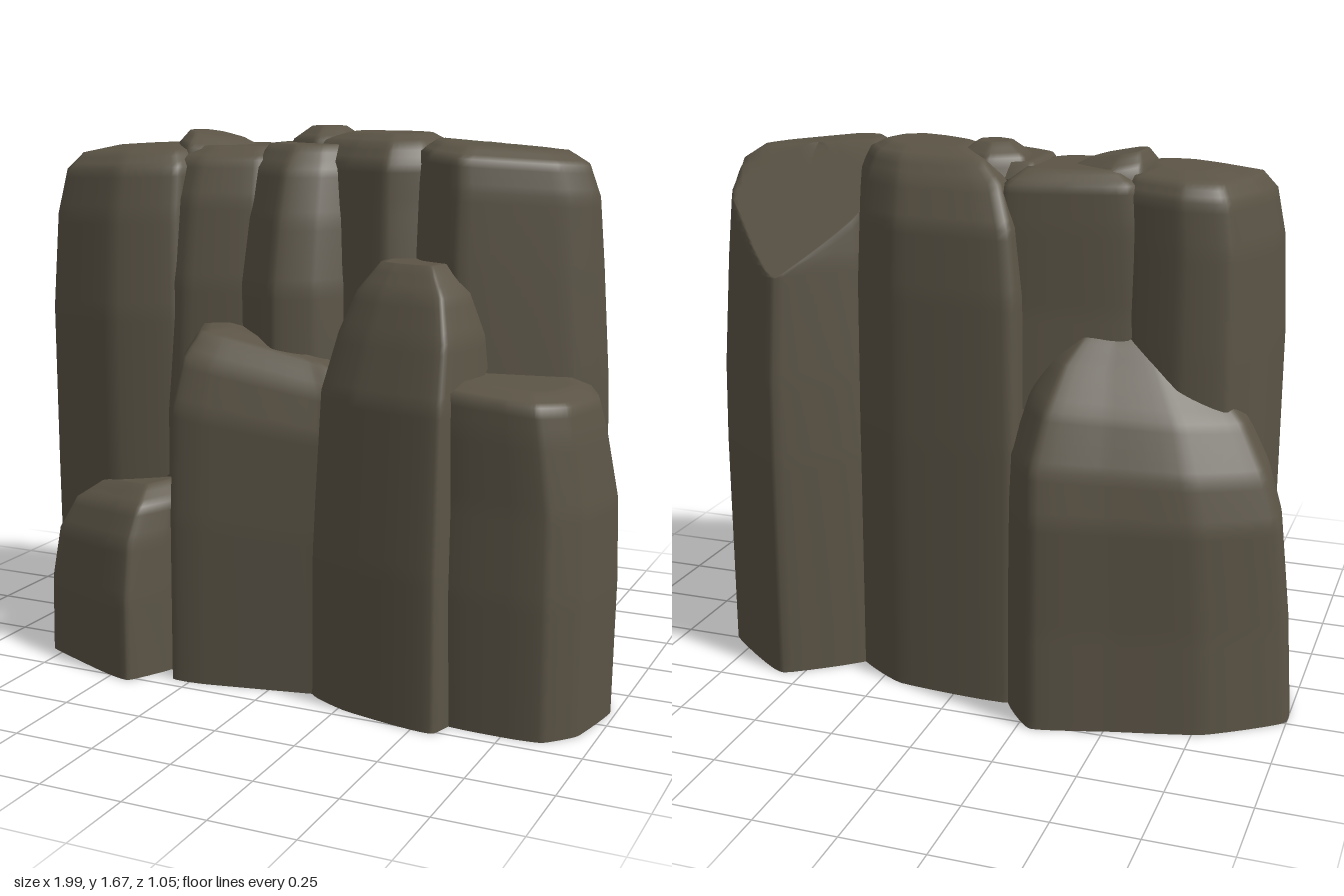
import * as THREE from 'three';

const stone = new THREE.MeshStandardMaterial({ color: 0x5b5446, side: THREE.DoubleSide });
stone.name = 'dark stone';
const { lerp } = THREE.MathUtils;
const noRoof = () => 9;

// A rock: its footprint of [x, z] corners (clockwise from above, slightly rounded) and its
// rings of [height, scale, shiftX, shiftZ]. slope tilts the top along x; roof(z) cuts it off.
function makeRock(name, foot, rings, slope = 0, roof = noRoof) {
  const n = foot.length;
  const cx = foot.reduce((s, p) => s + p[0], 0) / n;
  const cz = foot.reduce((s, p) => s + p[1], 0) / n;
  const points = foot.map(([x, z]) => new THREE.Vector3(x - cx, 0, z - cz));
  const curve = new THREE.CatmullRomCurve3(points, true, 'catmullrom', 0.2);
  const outline = Array.from({ length: n * 6 }, (_, i) => curve.getPoint(i / (n * 6)));
  const top = rings[rings.length - 1][0];
  const tilt = (x, y) => slope * (x - cx) * (y / top) ** 2;
  return { name, rings, roof, cx, cz, outline, top, tilt };
}

const mixRings = (a, b, t) => [0, 1, 2, 3].map(k => lerp(a[k] || 0, b[k] || 0, t));

// Whether a point lies within a rock
function inside({ rings, outline, roof, cx, cz, top, tilt }, x, y, z) {
  const h = y - tilt(x, y);
  if (h < rings[0][0] || h >= top || y > roof(z)) return false;
  const i = rings.findIndex(r => r[0] > h);
  const [, s, dx, dz] = mixRings(rings[i - 1], rings[i], (h - rings[i - 1][0]) / (rings[i][0] - rings[i - 1][0]));
  const px = (x - cx - dx) / s, pz = (z - cz - dz) / s;
  let hit = false;
  outline.forEach((a, j) => {
    const b = outline[(j + 1) % outline.length];
    if ((a.z > pz) !== (b.z > pz) && px < a.x + (b.x - a.x) * (pz - a.z) / (b.z - a.z)) hit = !hit;
  });
  return hit;
}

// Lofts a rock, open below, and leaves out the faces buried in its neighbours
function build(rock, rocks) {
  const { outline, rings, cx, cz, top, roof, tilt } = rock;
  const n = outline.length, end = rings[rings.length - 1];
  const all = [...rings, [top, end[1] * 0.5, end[2], end[3]], [top, 0.001, end[2], end[3]]];
  const layers = [all[0]];
  for (let i = 1; i < all.length; i++) {
    const steps = Math.max(3, Math.ceil((all[i][0] - all[i - 1][0]) / 0.03));
    for (let k = 1; k <= steps; k++) layers.push(mixRings(all[i - 1], all[i], k / steps));
  }
  const pos = [], buried = [], faces = [];
  layers.forEach(([h, s, dx = 0, dz = 0], i) => outline.forEach((p, j) => {
    const x = cx + p.x * s + dx, z = cz + p.z * s + dz;
    const y = Math.min(h + tilt(x, h), roof(z));
    pos.push(x, y, z);
    buried.push(rocks.some(other => other !== rock && inside(other, x, y, z)));
    if (i === 0) return;
    const a = (i - 1) * n + j, b = (i - 1) * n + (j + 1) % n;
    faces.push([a, a + n, b], [b, a + n, b + n]);
  }));
  const geo = new THREE.BufferGeometry();
  geo.setAttribute('position', new THREE.Float32BufferAttribute(pos, 3));
  geo.setIndex(faces.flat());
  geo.computeVertexNormals();
  geo.setIndex(faces.filter(face => face.some(v => !buried[v])).flat());
  const mesh = new THREE.Mesh(geo, stone);
  mesh.name = rock.name;
  return mesh;
}

export function createModel() {
  const rocks = [];
  const add = (...args) => rocks.push(makeRock(...args));

  // Tall columns forming the crest
  add('rightTallColumn',
    [[-0.86, 0], [-0.78, -0.22], [-0.64, -0.26], [-0.45, -0.2], [-0.36, 0.02], [-0.4, 0.23], [-0.6, 0.29], [-0.86, 0.21]],
    [[0, 1], [0.6, 1.01], [1.1, 1.01], [1.4, 0.96, 0, -0.01], [1.54, 0.9, 0.01, -0.02], [1.59, 0.75, 0.01, -0.03], [1.61, 0.4, 0.02, -0.03]], 0.04);
  add('rightInnerColumn',
    [[-0.52, -0.2], [-0.32, -0.27], [-0.1, -0.3], [-0.06, 0], [-0.15, 0.18], [-0.36, 0.24], [-0.52, 0.17]],
    [[0, 1.1], [0.8, 1.08], [1.2, 1], [1.45, 0.93, 0, -0.02], [1.57, 0.84, 0, -0.04], [1.61, 0.6, 0, -0.05]]);
  add('middleColumn',
    [[-0.24, -0.2], [0.12, -0.2], [0.16, 0.1], [0.07, 0.23], [-0.05, 0.28], [-0.24, 0.15]],
    [[0, 1.04], [0.9, 1.02], [1.2, 1], [1.4, 0.95, 0, -0.03], [1.55, 0.86, 0, -0.06], [1.62, 0.66, 0, -0.08]]);
  add('leftInnerColumn',
    [[-0.18, -0.38], [0.18, -0.37], [0.34, -0.27], [0.44, -0.1], [0.4, 0.12], [0.28, 0.2], [0.1, 0.14], [-0.14, -0.02]],
    [[0, 1.04], [0.8, 1.03], [1.25, 1], [1.45, 0.94], [1.57, 0.84, 0.01, 0.02], [1.63, 0.68, 0.02, 0.02], [1.655, 0.45, 0.03, 0.02]]);
  add('leftTallColumn',
    [[0.34, -0.26], [0.56, -0.43], [0.68, -0.36], [0.82, -0.24], [0.9, -0.02], [0.82, 0.1], [0.54, 0.26], [0.4, 0.2], [0.31, 0.05]],
    [[0, 1.02], [0.7, 1.02], [0.95, 1], [1.3, 0.96, -0.01, 0.01], [1.5, 0.91, -0.01, 0.02], [1.59, 0.84, -0.02, 0.03], [1.625, 0.65, -0.03, 0.03]],
    -0.08, z => 1.69 + 1.03 * z);

  // Small knobs on the crest
  add('rightKnob',
    [[-0.49, -0.15], [-0.4, -0.2], [-0.22, -0.12], [-0.28, 0.04], [-0.42, 0.1], [-0.5, 0.02]],
    [[1.5, 1.2], [1.6, 1], [1.64, 0.55, -0.03]], -0.16);
  add('middleKnob',
    [[-0.14, -0.17], [-0.05, -0.23], [0.05, -0.18], [0.06, -0.05], [-0.03, 0], [-0.13, -0.06]],
    [[1.5, 1.4], [1.63, 1.05], [1.67, 0.5]]);

  // Lower blocks around the foot
  add('backRightBlock',
    [[-1, -0.24], [-0.78, -0.4], [-0.52, -0.47], [-0.29, -0.53], [-0.17, -0.38], [-0.2, -0.1], [-0.6, 0.05], [-0.95, 0]],
    [[0, 1], [0.3, 0.98, 0.01], [0.64, 0.93, 0.02, -0.02], [0.78, 0.88, 0.04, -0.01], [0.93, 0.74, 0.06, 0.03], [1.04, 0.55, 0.09, 0.08], [1.12, 0.35, 0.1, 0.1]], 0.12);
  add('frontRightBlock',
    [[-0.74, 0.12], [-0.42, 0.12], [-0.34, 0.32], [-0.36, 0.4], [-0.43, 0.52], [-0.54, 0.49], [-0.79, 0.38], [-0.79, 0.33]],
    [[0, 1], [0.25, 0.98], [0.42, 0.92, 0.01, -0.01], [0.52, 0.82, 0.03, -0.04], [0.57, 0.55, 0.04, -0.08]], 0.1);
  add('frontMiddleBlock',
    [[-0.38, 0.08], [0.2, 0.08], [0.24, 0.36], [0.15, 0.38], [-0.2, 0.45], [-0.31, 0.45], [-0.37, 0.3]],
    [[0, 1], [0.5, 0.99], [0.82, 0.96, 0, -0.01], [0.96, 0.88, 0, -0.04], [1.03, 0.72, -0.01, -0.08], [1.05, 0.4, -0.02, -0.1]], -0.25);
  add('frontLeftBlock',
    [[0.12, 0.08], [0.6, 0.02], [0.62, 0.3], [0.57, 0.51], [0.44, 0.5], [0.27, 0.46], [0.13, 0.38]],
    [[0, 1], [0.45, 0.99], [0.93, 0.94, 0.01, -0.01], [1.1, 0.83, 0.02, -0.04], [1.22, 0.66, 0.02, -0.06], [1.3, 0.4, 0.01, -0.08]]);
  add('leftBlock',
    [[0.52, -0.05], [0.86, -0.1], [0.94, 0.03], [0.99, 0.15], [0.95, 0.36], [0.87, 0.45], [0.76, 0.46], [0.53, 0.43]],
    [[0, 0.97], [0.4, 1], [0.65, 0.97], [0.86, 0.9, -0.02, 0.02], [0.95, 0.84, -0.03, 0.03], [0.975, 0.6, -0.05, 0.02]], -0.08);

  const group = new THREE.Group();
  group.name = 'rockFormation';
  rocks.forEach(rock => group.add(build(rock, rocks)));
  return group;
}
